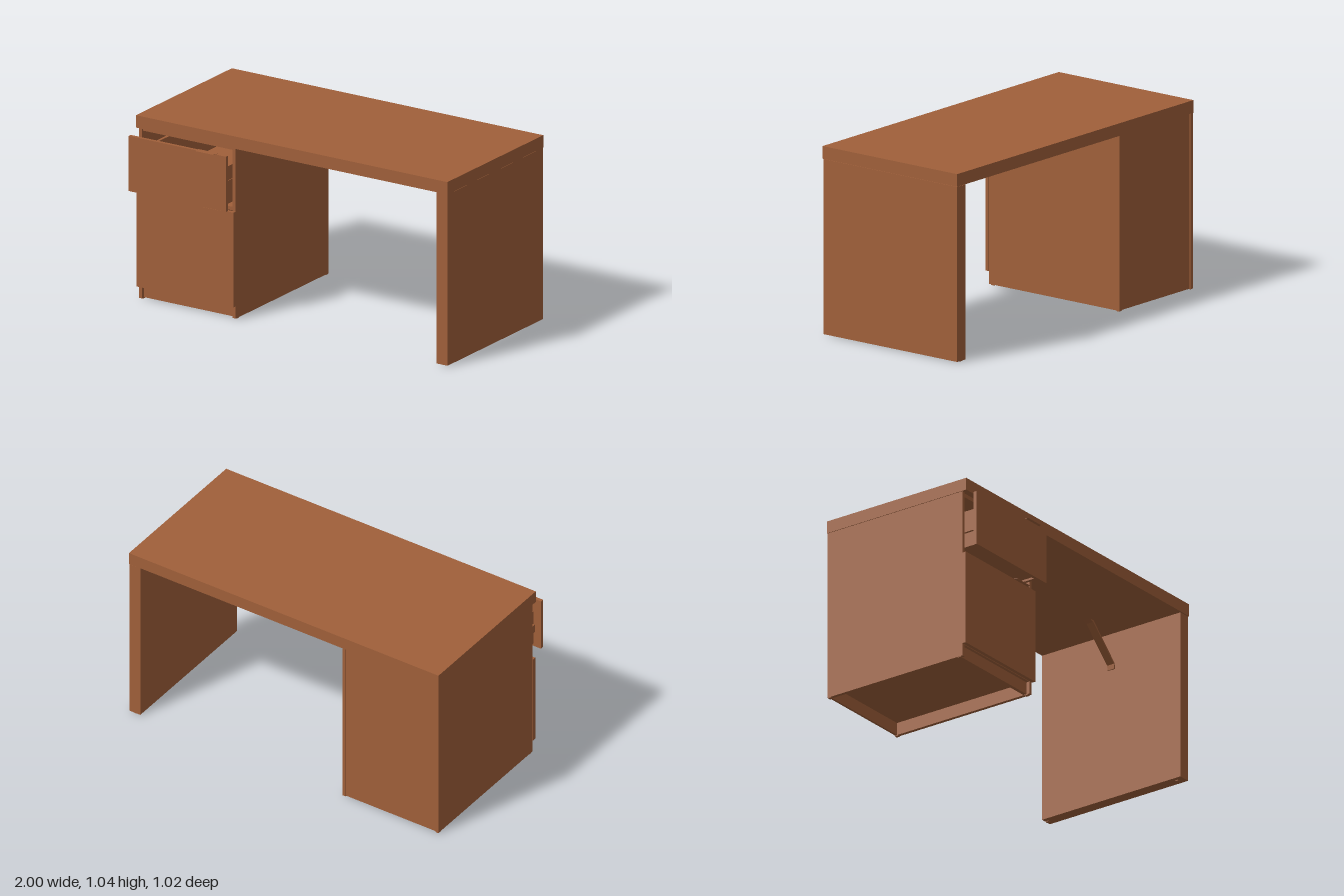
import * as THREE from 'three';

export function createModel() {
  const desk = new THREE.Group();
  desk.name = 'desk';
  const wood = new THREE.MeshStandardMaterial({ color: 0xa0603a });
  wood.name = 'warm brown wood';

  // Box given by its limits on each axis
  function panel(name, [x0, x1], [y0, y1], [z0, z1], parent = desk) {
    const mesh = new THREE.Mesh(new THREE.BoxGeometry(x1 - x0, y1 - y0, z1 - z0), wood);
    mesh.position.set((x0 + x1) / 2, (y0 + y1) / 2, (z0 + z1) / 2);
    mesh.name = name;
    parent.add(mesh);
    return mesh;
  }
  function group(name) {
    const g = new THREE.Group();
    g.name = name;
    desk.add(g);
    return g;
  }

  // Top and leg slab
  panel('tableTop', [-1, 1], [0.975, 1.045], [-0.51, 0.42]);
  panel('legSlab', [0.928, 0.998], [0.004, 0.973], [-0.508, 0.415]);

  // Cabinet carcass
  const cabinet = group('cabinet');
  const inner = [-0.978, -0.397];
  for (const [x0, x1] of [[-0.998, -0.978], [-0.397, -0.377]]) {
    panel('cabinetSide', [x0, x1], [0.004, 0.974], [-0.508, 0.393], cabinet);
  }
  panel('cabinetBack', inner, [0.004, 0.974], [-0.502, -0.49], cabinet);
  panel('cabinetFloor', inner, [0.075, 0.095], [-0.49, 0.39], cabinet);
  panel('drawerDivider', inner, [0.612, 0.632], [-0.49, 0.39], cabinet);
  panel('topRail', inner, [0.952, 0.974], [0.31, 0.385], cabinet);
  panel('plinth', inner, [0.006, 0.075], [0.353, 0.373], cabinet);

  // Floor glides
  for (const x of [-0.988, -0.387, 0.963]) {
    for (const z of [-0.495, 0.37]) {
      panel('glide', [x - 0.009, x + 0.009], [0, 0.004], [z - 0.01, z + 0.01]);
    }
  }

  // Bent tab handle: tapered top plate with a short lip behind the front
  function handle(name, y, z, parent) {
    const s = new THREE.Shape([
      [-0.565, 0], [-0.44, 0], [-0.44, -0.022], [-0.448, -0.038], [-0.557, -0.038], [-0.565, -0.022],
    ].map(([x, d]) => new THREE.Vector2(x, d)));
    const plate = new THREE.Mesh(new THREE.ExtrudeGeometry(s, { depth: 0.002, bevelEnabled: false }), wood);
    plate.rotation.x = -Math.PI / 2;
    plate.position.set(0, y, z);
    plate.name = name;
    parent.add(plate);
    panel(name + 'Lip', [-0.565, -0.44], [y - 0.025, y], [z - 0.002, z], parent);
  }

  // Door
  const door = group('door');
  panel('doorFront', [-1, -0.375], [0.075, 0.61], [0.395, 0.416], door);
  handle('doorHandle', 0.61, 0.396, door);

  // Pulled-out drawer
  const drawer = group('drawer');
  panel('drawerFront', [-1, -0.375], [0.636, 0.948], [0.47, 0.49], drawer);
  handle('drawerHandle', 0.948, 0.469, drawer);
  const by = [0.66, 0.872], bz = [-0.38, 0.461];
  panel('drawerSide', [-0.957, -0.94], by, bz, drawer);
  panel('drawerSide', [-0.42, -0.403], by, bz, drawer);
  panel('drawerBoxFront', [-0.94, -0.42], by, [0.444, 0.461], drawer);
  panel('drawerBoxBack', [-0.94, -0.42], by, [-0.38, -0.363], drawer);
  panel('drawerBottom', [-0.94, -0.42], [0.672, 0.682], [-0.363, 0.444], drawer);

  // Drawer runners
  for (const [x0, x1] of [[-0.97, -0.957], [-0.403, -0.399]]) {
    panel('drawerRunner', [x0, x1], [0.742, 0.792], [-0.38, 0.455], drawer);
  }
  for (const [x0, x1] of [[-0.978, -0.97], [-0.399, -0.397]]) {
    panel('cabinetRunner', [x0, x1], [0.742, 0.792], [-0.48, 0.385], cabinet);
  }

  // Diagonal strap brace between top and leg
  const brace = new THREE.Shape([
    [0.705, 0.975], [0.733, 0.965], [0.919, 0.788], [0.922, 0.76],
    [0.928, 0.76], [0.926, 0.793], [0.738, 0.975],
  ].map(([x, y]) => new THREE.Vector2(x, y)));
  const strap = new THREE.Mesh(new THREE.ExtrudeGeometry(brace, { depth: 0.045, bevelEnabled: false }), wood);
  strap.position.z = -0.067;
  strap.name = 'cornerBrace';
  desk.add(strap);

  return desk;
}
